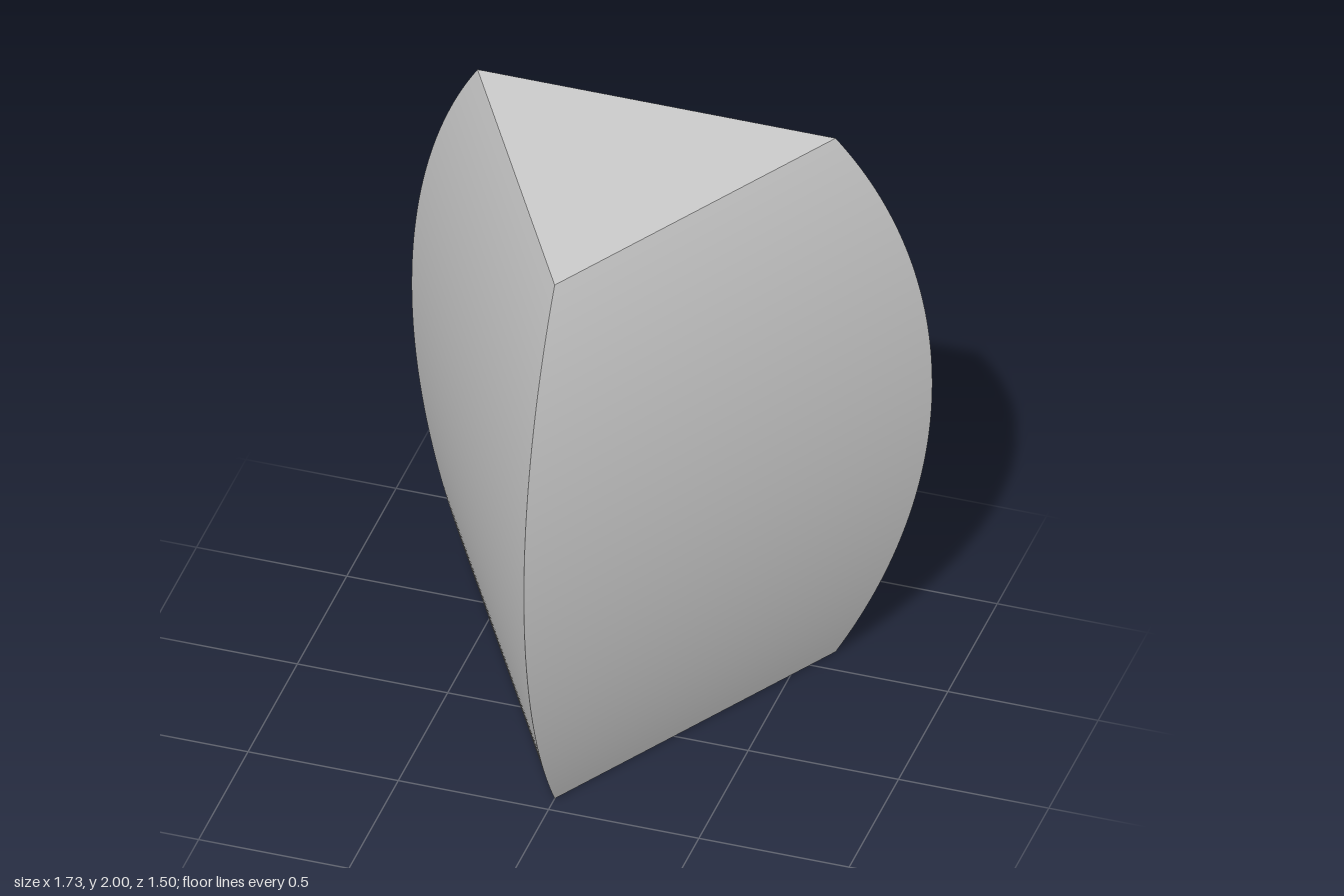
import * as THREE from 'three';

const MID_R = 1.0;    // triangle circumradius at mid height
const END_R = 0.688;  // triangle circumradius at top and bottom
const CENTRE_Z = -0.25;

// Circular-arc bulge: circumradius of the triangular section at height h from the middle
const sag = MID_R - END_R;
const arc = (1 + sag * sag) / (2 * sag);
const radiusAt = (h) => MID_R - arc + Math.sqrt(arc * arc - h * h);

// One bulging side, straight across and curved up and down
function sideGeometry() {
  const geo = new THREE.PlaneGeometry(1, 2, 1, 64);
  const p = geo.attributes.position;
  for (let i = 0; i < p.count; i++) {
    const r = radiusAt(p.getY(i));
    p.setXYZ(i, p.getX(i) * Math.sqrt(3) * r, p.getY(i) + 1, r / 2);
  }
  geo.computeVertexNormals();
  return geo;
}

export function createModel() {
  const model = new THREE.Group();
  model.name = 'triangularBarrel';
  const material = new THREE.MeshStandardMaterial({ color: 0xcccccc });

  const add = (name, geo) => {
    const mesh = new THREE.Mesh(geo, material);
    mesh.name = name;
    mesh.position.z = CENTRE_Z;
    model.add(mesh);
    return mesh;
  };

  // Three curved sides: back, front left, front right
  const side = sideGeometry();
  const sides = { backSide: Math.PI, leftSide: Math.PI / 3, rightSide: -Math.PI / 3 };
  for (const [name, angle] of Object.entries(sides)) add(name, side).rotation.y = angle;

  // Flat triangular ends, one corner pointing forward
  for (const [name, y, s] of [['topFace', 2, -1], ['bottomFace', 0, 1]]) {
    const cap = new THREE.CircleGeometry(END_R, 3, s * Math.PI / 2);
    cap.rotateX(s * Math.PI / 2);
    add(name, cap).position.y = y;
  }
  return model;
}
